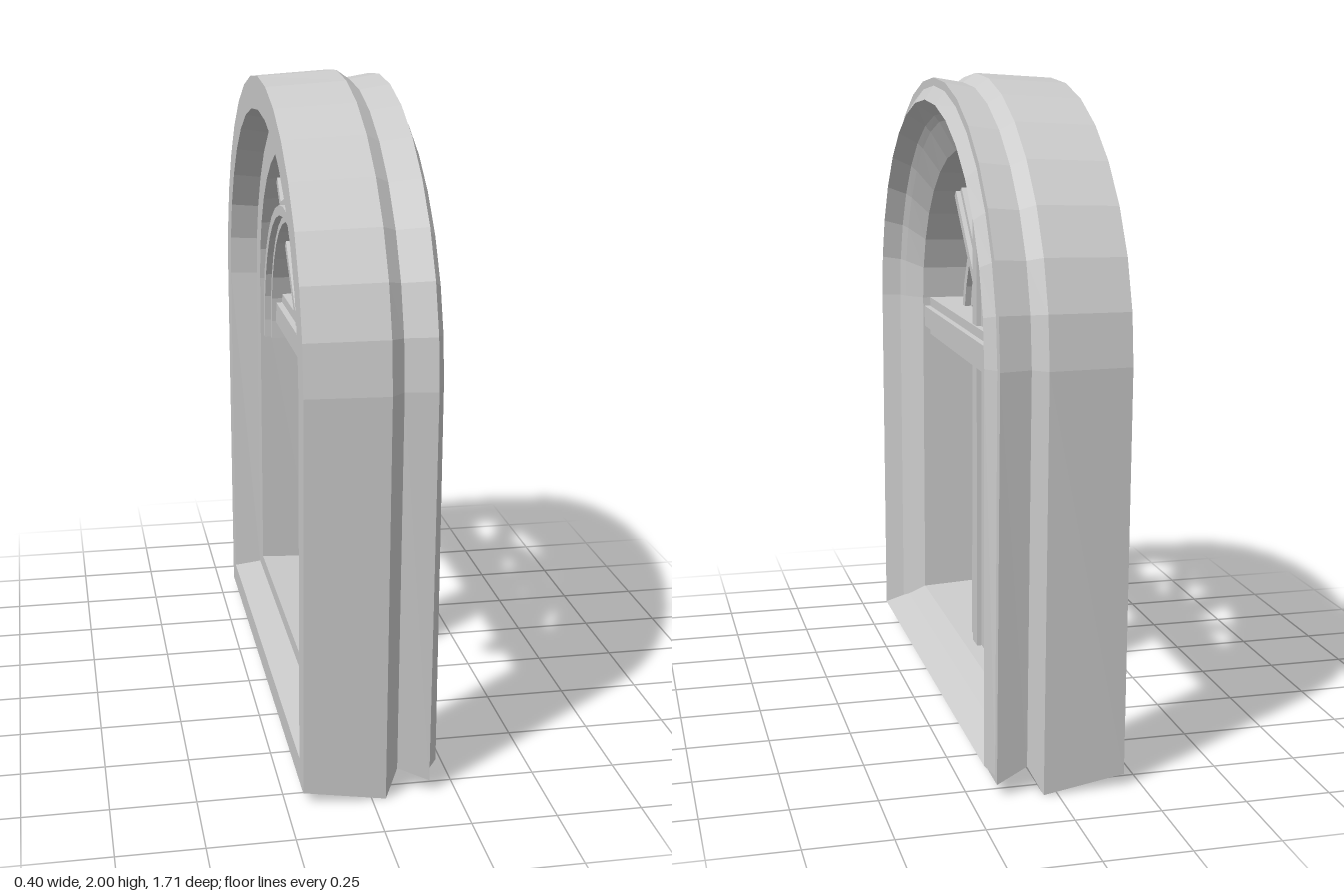
import * as THREE from 'three';

const SPRING = 1.22; // height where the arches begin
const ARC_STEPS = 16;

const material = new THREE.MeshStandardMaterial({ color: 0xcccccc, flatShading: true });

// Skin a row of closed cross-sections; joined end to end, or capped at both ends
function loft(sections, joined) {
  const pos = [];
  const tri = (...pts) => pts.forEach((p) => pos.push(p.x, p.y, p.z));
  const n = sections[0].length;
  const spans = joined ? sections.length : sections.length - 1;
  for (let j = 0; j < spans; j++) {
    const s = sections[j];
    const t = sections[(j + 1) % sections.length];
    for (let i = 0; i < n; i++) {
      const k = (i + 1) % n;
      tri(s[i], s[k], t[i]);
      tri(t[i], s[k], t[k]);
    }
  }
  if (!joined) {
    [sections[0], sections[sections.length - 1]].forEach((s, end) => {
      const c = s.reduce((a, p) => a.add(p), new THREE.Vector3()).divideScalar(n);
      for (let i = 0; i < n; i++) {
        const k = (i + 1) % n;
        if (end) tri(c, s[i], s[k]);
        else tri(c, s[k], s[i]);
      }
    });
  }
  const geometry = new THREE.BufferGeometry();
  geometry.setAttribute('position', new THREE.Float32BufferAttribute(pos, 3));
  geometry.computeVertexNormals();
  return geometry;
}

// Bar profile [across, x] with a raised rib along the front and the back
function ribbed(half, back, front, rib, depth) {
  return [
    [half, back], [half, front], [rib, front], [rib, front + depth],
    [-rib, front + depth], [-rib, front], [-half, front], [-half, back],
    [-rib, back], [-rib, back - depth], [rib, back - depth], [rib, back],
  ];
}

// Place a profile at (z, y), square to the travel direction (dz, dy)
function section(profile, z, y, dz, dy) {
  const len = Math.hypot(dz, dy);
  return profile.map(([a, x]) => new THREE.Vector3(x, y - (a * dz) / len, z + (a * dy) / len));
}

// Straight bar between two (z, y) points; the profile may change along it
function bar(from, to, profileA, profileB = profileA) {
  const dz = to[0] - from[0];
  const dy = to[1] - from[1];
  return loft([section(profileA, ...from, dz, dy), section(profileB, ...to, dz, dy)], false);
}

// Moulded frame: rings of [x, half width at spring, half width at foot, top, bottom]
function frameGeometry() {
  const rings = [
    [-0.2, 0.84, 0.815, 1.985, 0.035],
    [0.04, 0.855, 0.825, 2.0, 0.0],
    [0.08, 0.82, 0.79, 1.972, 0.075],
    [0.172, 0.838, 0.808, 1.987, 0.037],
    [0.172, 0.806, 0.785, 1.962, 0.055],
    [0.2, 0.773, 0.765, 1.92, 0.08],
    [0.14, 0.748, 0.74, 1.88, 0.108],
    [0.125, 0.72, 0.72, 1.86, 0.118],
    [0.075, 0.66, 0.663, 1.768, 0.162],
    [-0.11, 0.652, 0.652, 1.757, 0.175],
    [-0.11, 0.74, 0.735, 1.87, 0.125],
    [-0.2, 0.755, 0.745, 1.885, 0.11],
  ];
  const sections = [];
  sections.push(rings.map(([x, , foot, , low]) => new THREE.Vector3(x, low, foot)));
  for (let j = 0; j <= ARC_STEPS; j++) {
    const a = (j / ARC_STEPS) * Math.PI;
    sections.push(rings.map(([x, w, , top]) =>
      new THREE.Vector3(x, SPRING + (top - SPRING) * Math.sin(a), w * Math.cos(a))));
  }
  sections.push(rings.map(([x, , foot, , low]) => new THREE.Vector3(x, low, -foot)));
  return loft(sections, true);
}

// Half-round muntin with short straight feet
function innerArchGeometry() {
  const profile = ribbed(0.037, -0.105, -0.04, 0.016, 0.02);
  const radius = 0.445;
  const centre = 1.125;
  const sections = [section(profile, radius, 1.065, 0, 1)];
  for (let j = 0; j <= ARC_STEPS; j++) {
    const a = (j / ARC_STEPS) * Math.PI;
    sections.push(section(profile, radius * Math.cos(a), centre + radius * Math.sin(a),
      -Math.sin(a), Math.cos(a)));
  }
  sections.push(section(profile, -radius, 1.065, 0, -1));
  return loft(sections, false);
}

export function createModel() {
  const model = new THREE.Group();
  model.name = 'archedWindow';
  const add = (name, geometry) => {
    const mesh = new THREE.Mesh(geometry, material);
    mesh.name = name;
    model.add(mesh);
  };

  add('frame', frameGeometry());

  // Upright mullion, narrowing toward the top
  add('mullion', bar([0, 0.17], [0, 1.765],
    ribbed(0.11, -0.05, 0.03, 0.032, 0.015), ribbed(0.062, -0.05, 0.03, 0.026, 0.015)));

  // Crossbar at the foot of the arch
  add('crossbar', bar([0.66, 1.155], [-0.66, 1.155], ribbed(0.065, -0.07, 0.05, 0.035, 0.02)));

  // Slanting bars, mirrored left and right
  const slim = ribbed(0.036, -0.06, -0.015, 0.014, 0.015);
  for (const side of [1, -1]) {
    add(side > 0 ? 'leftSlantingBar' : 'rightSlantingBar',
      bar([side * 0.06, 1.19], [side * 0.485, 1.61], slim));
  }

  add('innerArch', innerArchGeometry());

  return model;
}
